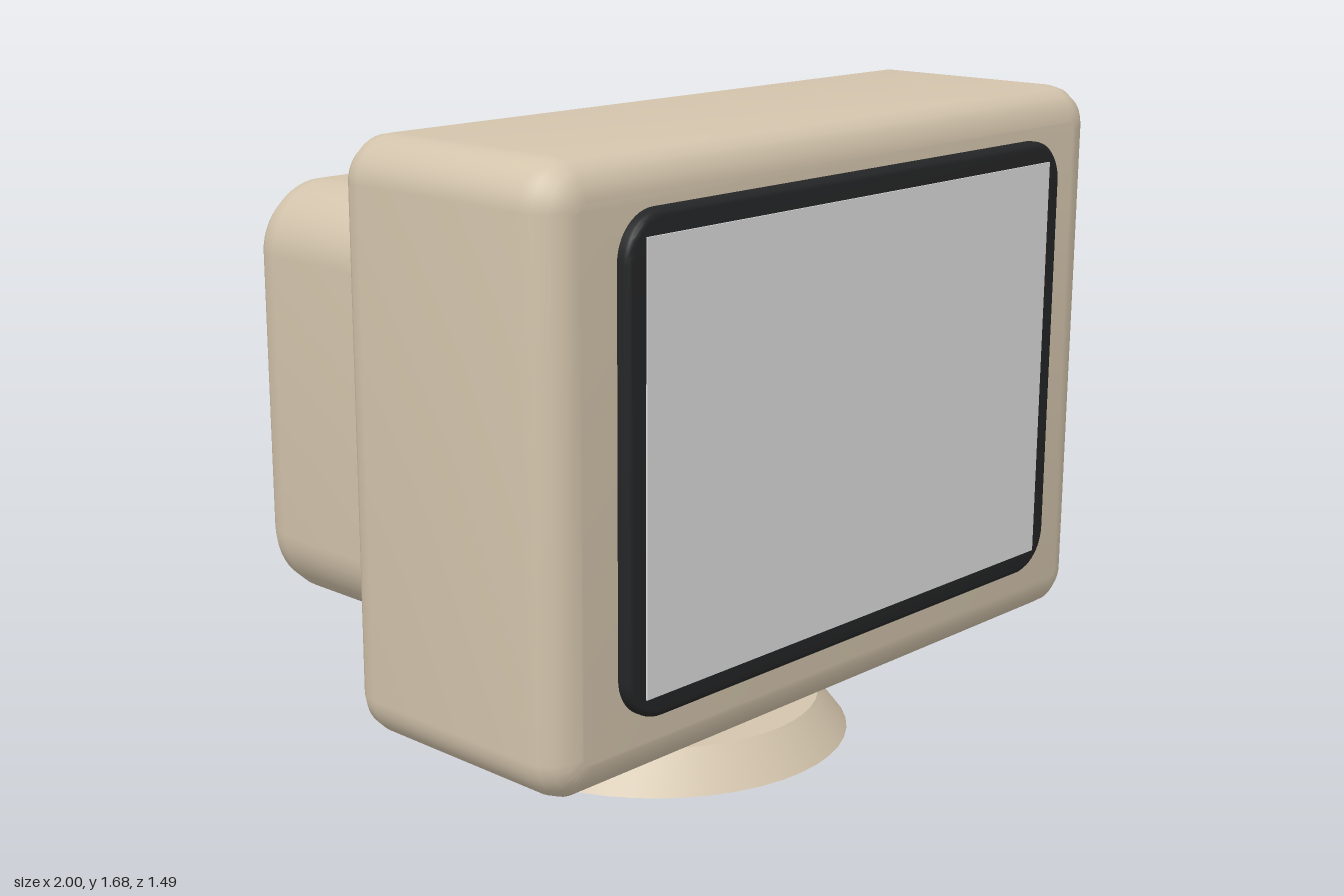
import * as THREE from 'three';
import { toCreasedNormals } from 'three/addons/utils/BufferGeometryUtils.js';

const material = (name, color) => {
  const m = new THREE.MeshStandardMaterial({ color });
  m.name = name;
  return m;
};

// Rounded rectangle in x/y extruded along z, with bevelled front and back edges.
// All sizes are outer sizes; radius is the corner radius seen from the front.
function roundedBlock(halfWidth, y0, y1, z0, z1, radius, bevel, segments = 4) {
  const w = halfWidth - bevel, b = y0 + bevel, t = y1 - bevel;
  const r = Math.max(radius - bevel, 0.005);
  const s = new THREE.Shape();
  s.absarc(w - r, b + r, r, -Math.PI / 2, 0);
  s.absarc(w - r, t - r, r, 0, Math.PI / 2);
  s.absarc(-w + r, t - r, r, Math.PI / 2, Math.PI);
  s.absarc(-w + r, b + r, r, Math.PI, Math.PI * 1.5);
  s.closePath();
  const g = new THREE.ExtrudeGeometry(s, {
    depth: z1 - z0 - 2 * bevel,
    bevelEnabled: true,
    bevelSize: bevel,
    bevelThickness: bevel,
    bevelSegments: segments,
    curveSegments: 6,
  });
  g.translate(0, 0, z0 + bevel);
  return toCreasedNormals(g, 0.6);
}

export function createModel() {
  const model = new THREE.Group();
  model.name = 'monitor';

  const beige = material('beige plastic', 0xd3c4ac);
  const black = material('black bezel', 0x242526);
  const grey = material('grey screen', 0xdcdcdc);
  const brown = material('brown vents', 0x8b7e66);

  const add = (name, geometry, mat) => {
    const mesh = new THREE.Mesh(geometry, mat);
    mesh.name = name;
    model.add(mesh);
    return mesh;
  };

  // Main housing and the smaller tube casing behind it
  add('housing', roundedBlock(1, 0.245, 1.68, 0.005, 0.705, 0.11, 0.09), beige);
  add('rearCasing', roundedBlock(0.7, 0.345, 1.46, -0.745, 0.2, 0.19, 0.12), beige);

  // Bezel and screen
  add('bezel', roundedBlock(0.8, 0.405, 1.56, 0.66, 0.738, 0.11, 0.015, 3), black);
  add('screen', new THREE.BoxGeometry(1.49, 1.045, 0.008), grey).position.set(0, 0.982, 0.738);

  // Cooling fins above the rear casing
  for (let i = -2; i <= 2; i++) {
    add('vent', new THREE.BoxGeometry(0.024, 0.015, 0.42), brown).position.set(i * 0.2, 1.482, -0.18);
  }

  // Stand
  add('neck', roundedBlock(0.2, 0.08, 0.28, -0.145, 0.255, 0.065, 0.025, 3), beige);
  const base = toCreasedNormals(new THREE.CylinderGeometry(0.44, 0.518, 0.1, 48), 0.6);
  add('base', base, beige).position.set(0, 0.05, 0.055);

  return model;
}
